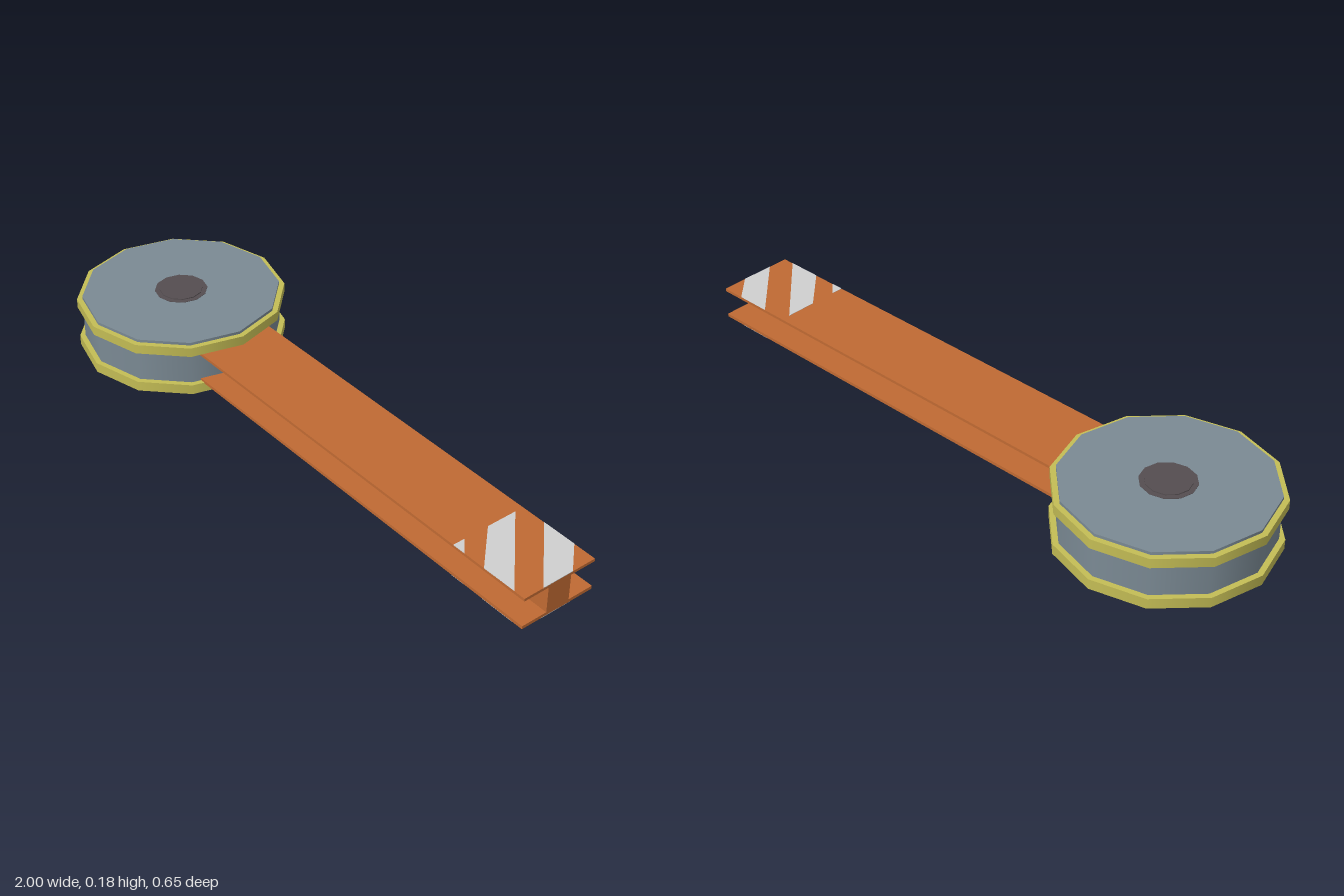
import * as THREE from 'three';
import { mergeGeometries } from 'three/addons/utils/BufferGeometryUtils.js';

const SIDES = 12, DRUM_X = -0.677, DRUM_R = 0.307, RIM_R = 0.324;

export function createModel() {
  const model = new THREE.Group();
  model.name = 'pivotArm';

  const mat = (name, color) => {
    const m = new THREE.MeshStandardMaterial({ color });
    m.name = name;
    return m;
  };
  const steel = mat('blueGreySteel', 0x7b8a94);
  const yellow = mat('yellowPaint', 0xc4bd55);
  const orange = mat('orangePaint', 0xc06a33);
  const white = mat('palePaint', 0xd0d0d0);
  const dark = mat('darkMetal', 0x544d50);

  const add = (name, geometry, material, x = 0, y = 0, z = 0) => {
    const mesh = new THREE.Mesh(geometry, material);
    mesh.name = name;
    mesh.position.set(x, y, z);
    model.add(mesh);
  };
  const disc = (name, r, y0, y1, material) =>
    add(name, new THREE.CylinderGeometry(r, r, y1 - y0, SIDES), material, DRUM_X, (y0 + y1) / 2);
  const box = (name, x0, x1, y0, y1, halfZ, material) =>
    add(name, new THREE.BoxGeometry(x1 - x0, y1 - y0, halfZ * 2), material, (x0 + x1) / 2, (y0 + y1) / 2);

  // Drum with a hub cap on top
  disc('drum', DRUM_R, 0, 0.175, steel);
  disc('hubRing', 0.082, 0.174, 0.1762, dark);
  disc('hubCap', 0.067, 0.174, 0.179, dark);

  // Yellow rims: outer wall plus flat lips above and below
  const rim = (name, y0, y1) => {
    const h = y1 - y0;
    const lip = () => new THREE.RingGeometry(DRUM_R, RIM_R, SIDES);
    add(name, mergeGeometries([
      new THREE.CylinderGeometry(RIM_R, RIM_R, h, SIDES, 1, true),
      lip().rotateX(-Math.PI / 2).translate(0, h / 2, 0),
      lip().rotateX(Math.PI / 2).translate(0, -h / 2, 0),
    ]), yellow, DRUM_X, (y0 + y1) / 2);
  };
  rim('lowerRim', 0, 0.032);
  rim('upperRim', 0.136, 0.166);

  // I-beam arm
  box('lowerFlange', -0.5, 1, 0.029, 0.039, 0.125, orange);
  box('web', -0.5, 1, 0.039, 0.123, 0.04, orange);
  box('upperFlange', -0.5, 1, 0.123, 0.132, 0.125, orange);

  // Diagonal warning stripes at the tip, as (x, z) outlines, on both outer faces
  const stripes = [
    [[0.733, -0.096], [0.963, 0.125], [0.85, 0.125], [0.733, 0.003]],
    [[0.813, -0.125], [0.925, -0.125], [1, -0.045], [1, 0.06]],
    [[0.733, 0.086], [0.775, 0.125], [0.733, 0.125]],
  ];
  for (const outline of stripes) {
    const shape = new THREE.Shape(outline.map(([x, z]) => new THREE.Vector2(x, z)));
    const plate = new THREE.ExtrudeGeometry(shape, { depth: 0.002, bevelEnabled: false });
    plate.rotateX(Math.PI / 2);
    add('topStripe', plate, white, 0, 0.133);
    add('bottomStripe', plate, white, 0, 0.03);
  }
  return model;
}
